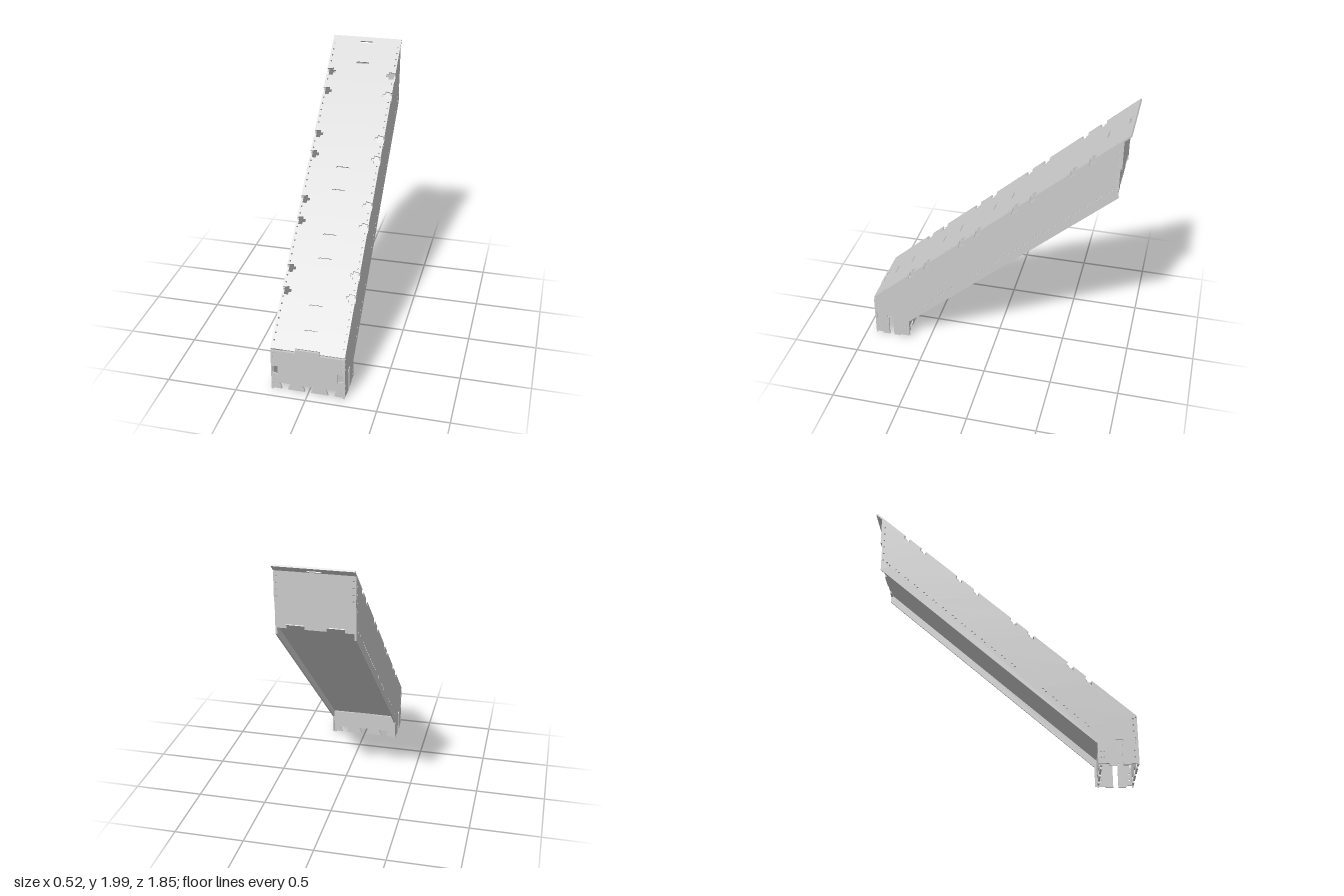
import * as THREE from 'three';

const T = 0.012;                       // sheet thickness
const W = 0.262;                       // half width
const FRONT = 0.925, BASE = 0.35;      // lower front edge of the sloped top
const SLOPE = 1.65 / 1.84;
const ANG = Math.atan(SLOPE), SIN = Math.sin(ANG), COS = Math.cos(ANG);
const LEN = 1.84 / COS;
const TABS = [0.63, 0.74, 0.98, 1.09, 1.33, 1.44, 1.68, 1.79];   // heights of edge notches
const SLOTS = [0.45, 0.57, 0.80, 0.92, 1.15, 1.27, 1.85, 1.97];  // heights of centre slots
const mat = new THREE.MeshStandardMaterial({ color: 0xcccccc, side: THREE.DoubleSide });

const shapeOf = pts => new THREE.Shape(pts.map(p => new THREE.Vector2(...p)));
const cut = (shape, pts) => shape.holes.push(new THREE.Path(pts.map(p => new THREE.Vector2(...p))));

function dot(shape, x, y, r = 0.006) {
  const pts = [];
  for (let i = 0; i < 8; i++) pts.push([x + r * Math.cos(i * Math.PI / 4), y + r * Math.sin(i * Math.PI / 4)]);
  cut(shape, pts);
}

function slot(shape, x, y, hw, hh) {
  cut(shape, [[x - hw, y], [x - hw + hh, y - hh], [x + hw - hh, y - hh], [x + hw, y], [x + hw - hh, y + hh], [x - hw + hh, y + hh]]);
}

function sheet(name, shape, x, y, z) {
  const geo = new THREE.ExtrudeGeometry(shape, { depth: T, bevelEnabled: false });
  const mesh = new THREE.Mesh(geo, mat);
  mesh.name = name;
  mesh.position.set(x, y, z);
  return mesh;
}

// Bottom edge with three dovetail cutouts, left to right
function dovetails(w) {
  const pts = [[-w, 0.01], [-w + 0.015, 0.01], [-w + 0.015, 0.02]];
  for (const c of [-0.165, 0, 0.165]) {
    pts.push([c - 0.022, 0.02], [c - 0.026, 0.04], [c - 0.04, 0.068],
      [c + 0.04, 0.068], [c + 0.026, 0.04], [c + 0.022, 0.02]);
  }
  pts.push([w - 0.015, 0.02], [w - 0.015, 0.01], [w, 0.01]);
  return pts;
}

// Sloped top: notched long edges, centre slots, rows of small holes
function topPanel() {
  const along = y => (y - BASE) / SIN;
  const right = [];
  for (const y of TABS) {
    const s = along(y);
    right.push([W, s - 0.03], [0.215, s - 0.032], [0.212, s - 0.012], [0.195, s - 0.012],
      [0.195, s + 0.01], [0.212, s + 0.01], [0.215, s + 0.03], [W, s + 0.02]);
  }
  const left = right.map(([x, s]) => [-x, s]).reverse();
  const shape = shapeOf([[-W, 0], [-0.087, 0], [-0.087, 0.02], [0.087, 0.02], [0.087, 0], [W, 0],
    ...right, [W, LEN], [-W, LEN], ...left]);
  for (const y of SLOTS) slot(shape, 0, along(y), 0.05, 0.008);
  for (let s = 0.06; s < LEN - 0.03; s += 0.052) {
    if (TABS.some(y => Math.abs(along(y) - s) < 0.045)) continue;
    for (const m of [-1, 1]) dot(shape, m * 0.245, s);
  }
  const mesh = sheet('topPanel', shape, 0, BASE - T * COS, FRONT - T * SIN);
  mesh.rotation.x = ANG - Math.PI / 2;
  return mesh;
}

// Side wall drawn in (-z, y)
function sidePanel(name, x) {
  const zf = FRONT - T, zb = -0.865;
  const edge = z => BASE + (FRONT - z) * SLOPE - T / COS;
  const pts = [[0.655, 0.02], [0.655, 0.16], [zb, 1.52], [zb, edge(zb)]];
  for (const y of [...TABS].reverse()) {
    const z = FRONT - (y - BASE) / SLOPE;
    pts.push([z - 0.022, edge(z - 0.022)], [z - 0.02, edge(z - 0.02) - 0.014],
      [z + 0.02, edge(z + 0.02) - 0.014], [z + 0.022, edge(z + 0.022)]);
  }
  pts.push([zf, edge(zf)], [zf, 0.2], [zf - 0.008, 0.2], [zf - 0.008, 0.15], [zf, 0.15],
    [zf, 0.02], [0.875, 0.02], [0.87, 0.008], [0.818, 0.008], [0.818, 0.165], [0.826, 0.17], [0.826, 0.187],
    [0.774, 0.187], [0.774, 0.17], [0.782, 0.165], [0.782, 0.008], [0.73, 0.008], [0.725, 0.02]);
  const shape = shapeOf(pts.map(([z, y]) => [-z, y]));
  // Pairs of holes above and below the floor sheet
  for (let i = 0; i < 21; i++) {
    if (i === 5 || i === 6) continue;
    const z = 0.59 - i * 0.07, y = 0.29 + i * 0.07 * 0.91;
    for (const m of [-1, 1]) dot(shape, -z + m * 0.016 * SIN, y + m * 0.016 * COS, 0.007);
  }
  for (let y = 0.06; y < 0.33; y += 0.045) if (Math.abs(y - 0.175) > 0.03) dot(shape, -0.898, y);
  for (let y = 1.6; y < 1.9; y += 0.055) dot(shape, 0.85, y);
  for (const z of [0.675, 0.695]) for (const y of [0.06, 0.1]) dot(shape, -z, y);
  const mesh = sheet(name, shape, x, 0, 0);
  mesh.rotation.y = Math.PI / 2;
  return mesh;
}

function frontPanel() {
  const shape = shapeOf([...dovetails(W), [W, 0.333], [0.085, 0.333], [0.085, 0.36],
    [-0.085, 0.36], [-0.085, 0.333], [-W, 0.333]]);
  for (const m of [-1, 1]) {
    cut(shape, [[0.252, 0.15], [0.212, 0.135], [0.212, 0.21], [0.252, 0.2]].map(([x, y]) => [m * x, y]));
    for (const y of [0.06, 0.095, 0.24, 0.275, 0.31]) dot(shape, m * 0.245, y);
  }
  return sheet('frontPanel', shape, 0, 0, FRONT - T);
}

// Short wall behind the feet
function rearFootPanel() {
  const w = W - T;
  const shape = shapeOf([...dovetails(w), [w, 0.2], [0.09, 0.2], [0.09, 0.215], [-0.09, 0.215], [-0.09, 0.2], [-w, 0.2]]);
  return sheet('rearFootPanel', shape, 0, 0, 0.67);
}

// Sloped floor between the side walls, tabbed at its upper end
function floorPanel() {
  const w = W - T, len = 1.53 / COS;
  const shape = shapeOf([[-w, 0], [w, 0], [w, len], [0.19, len], [0.19, len + 0.018], [0.07, len + 0.018],
    [0.07, len], [-0.07, len], [-0.07, len + 0.018], [-0.19, len + 0.018], [-0.19, len], [-w, len]]);
  const mesh = sheet('floorPanel', shape, 0, 0.205, 0.675);
  mesh.rotation.x = ANG - Math.PI / 2;
  return mesh;
}

// Back wall in two sheets, the upper one overlapping the side edges
function backPanels() {
  const w = W - T;
  const upper = shapeOf([[-W, 1.745], [W, 1.745], [W, 1.955], [-W, 1.955]]);
  for (const m of [-1, 1]) for (let y = 1.78; y < 1.95; y += 0.045) dot(upper, m * 0.245, y);
  const lower = shapeOf([[-w, 1.565], [-0.19, 1.565], [-0.19, 1.59], [-0.07, 1.59], [-0.07, 1.565],
    [0.07, 1.565], [0.07, 1.59], [0.19, 1.59], [0.19, 1.565], [w, 1.565], [w, 1.75], [-w, 1.75]]);
  return [sheet('upperBackPanel', upper, 0, 0, -0.865 - T), sheet('lowerBackPanel', lower, 0, 0, -0.865)];
}

export function createModel() {
  const group = new THREE.Group();
  group.name = 'slopedChute';
  group.add(topPanel(), sidePanel('leftSidePanel', W - T), sidePanel('rightSidePanel', -W),
    frontPanel(), rearFootPanel(), floorPanel(), ...backPanels());
  return group;
}
